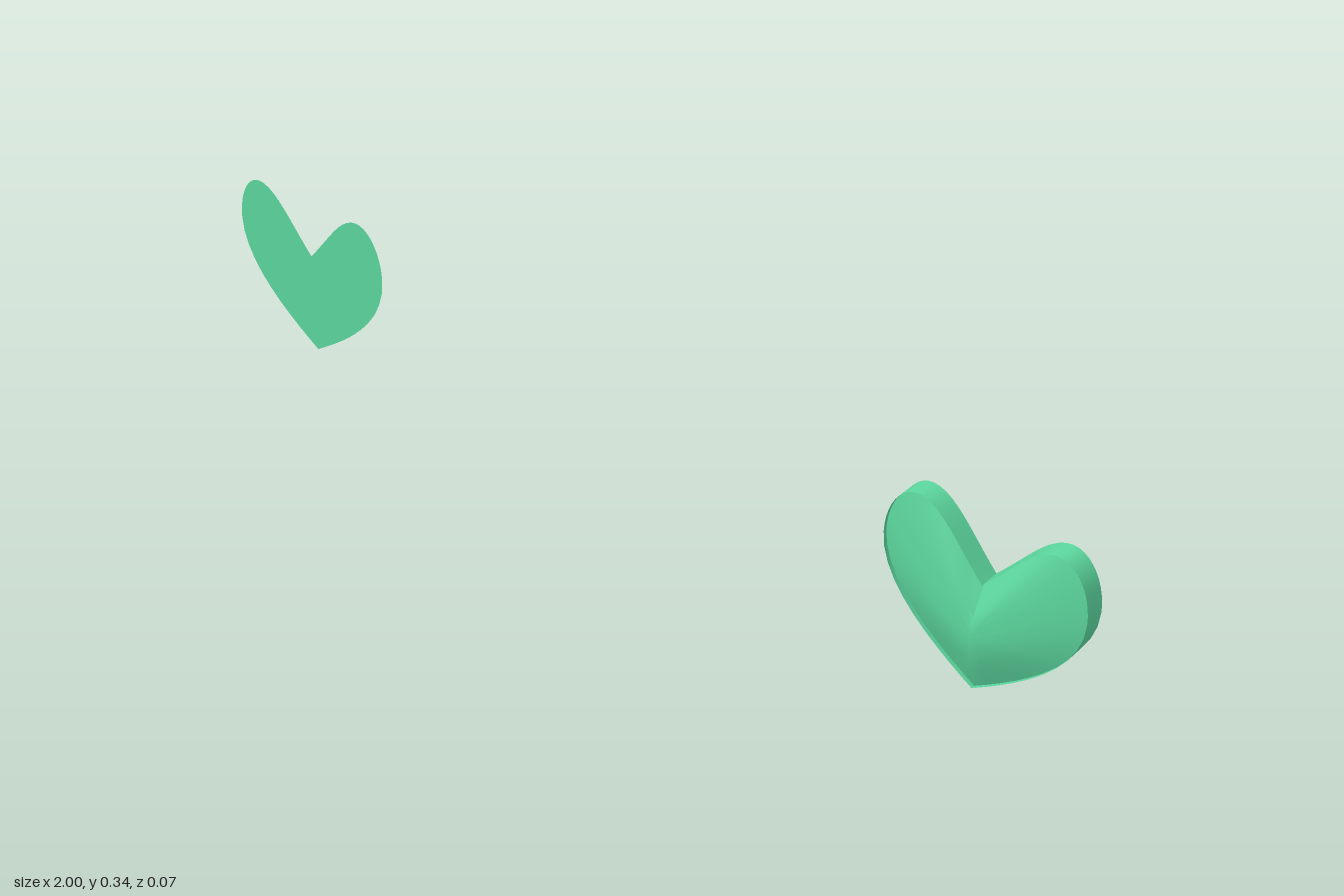
import * as THREE from 'three';
import { toCreasedNormals } from 'three/addons/utils/BufferGeometryUtils.js';

const material = new THREE.MeshStandardMaterial({ color: 0x5cd79e, side: THREE.DoubleSide });
const CENTRE_Y = 0.125; // point the domed rings shrink towards
const RIM = 0.011; // thickness of the back rim

// Heart outline, counter-clockwise from the bottom tip
function heartShape() {
  const s = new THREE.Shape();
  s.moveTo(0, 0);
  s.bezierCurveTo(0.08, 0.05, 0.197, 0.13, 0.197, 0.235);
  s.bezierCurveTo(0.197, 0.29, 0.17, 0.339, 0.134, 0.339);
  s.bezierCurveTo(0.09, 0.339, 0.05, 0.27, 0, 0.217);
  s.bezierCurveTo(-0.05, 0.27, -0.09, 0.339, -0.134, 0.339);
  s.bezierCurveTo(-0.17, 0.339, -0.197, 0.29, -0.197, 0.235);
  s.bezierCurveTo(-0.197, 0.13, -0.08, 0.05, 0, 0);
  return s;
}

// Outline points moved inwards by a distance, mitred at tip and cleft
function heartOutline(inset = 0) {
  const pts = heartShape().getPoints(10);
  const n = pts.length - 1;
  return pts.map((p, i) => {
    const t = pts[(i + 1) % n].clone().sub(pts[(i + n - 1) % n]).normalize();
    const d = Math.abs(p.x) < 1e-6 ? inset * 1.4 : inset;
    return new THREE.Vector2(p.x - t.y * d, p.y + t.x * d);
  });
}

// Skin between copies of the outline; each ring is [scale, z, inset]
function heartLoft(rings) {
  const loops = rings.map(([k, z, inset]) =>
    heartOutline(inset).map((p) => [p.x * k, CENTRE_Y + (p.y - CENTRE_Y) * k, z]));
  const pos = [];
  for (let r = 0; r < rings.length - 1; r++) {
    const [low, high] = [loops[r], loops[r + 1]];
    for (let i = 0; i < low.length - 1; i++) {
      pos.push(...low[i], ...low[i + 1], ...high[i + 1]);
      if (rings[r + 1][0] > 0) pos.push(...low[i], ...high[i + 1], ...high[i]);
    }
  }
  const g = new THREE.BufferGeometry();
  g.setAttribute('position', new THREE.Float32BufferAttribute(pos, 3));
  return toCreasedNormals(g, 0.6);
}

function heartFace(inset) {
  return new THREE.ShapeGeometry(new THREE.Shape(heartOutline(inset).slice(0, -1)));
}

function addMesh(parent, name, geometry, z = 0) {
  const mesh = new THREE.Mesh(geometry, material);
  mesh.name = name;
  mesh.position.z = z;
  parent.add(mesh);
}

export function createModel() {
  const model = new THREE.Group();
  model.name = 'hearts';

  // Flat heart
  const flat = new THREE.Group();
  flat.name = 'flatHeart';
  flat.position.x = -0.803;
  addMesh(flat, 'flatHeartFace', heartFace(0), -0.033);

  // Domed heart: wall with a back rim, recessed back panel, raised front
  const domed = new THREE.Group();
  domed.name = 'domedHeart';
  domed.position.x = 0.803;
  addMesh(domed, 'rimWall', heartLoft([[1, -0.018, RIM], [1, -0.033, RIM], [1, -0.033, 0], [1, 0.01, 0]]));
  addMesh(domed, 'backPanel', heartFace(RIM), -0.018);
  addMesh(domed, 'dome', heartLoft([
    [1, 0.002], [0.83, 0.01], [0.6, 0.0205], [0.4, 0.028], [0.2, 0.033], [0, 0.0335],
  ]));

  model.add(flat, domed);
  return model;
}
